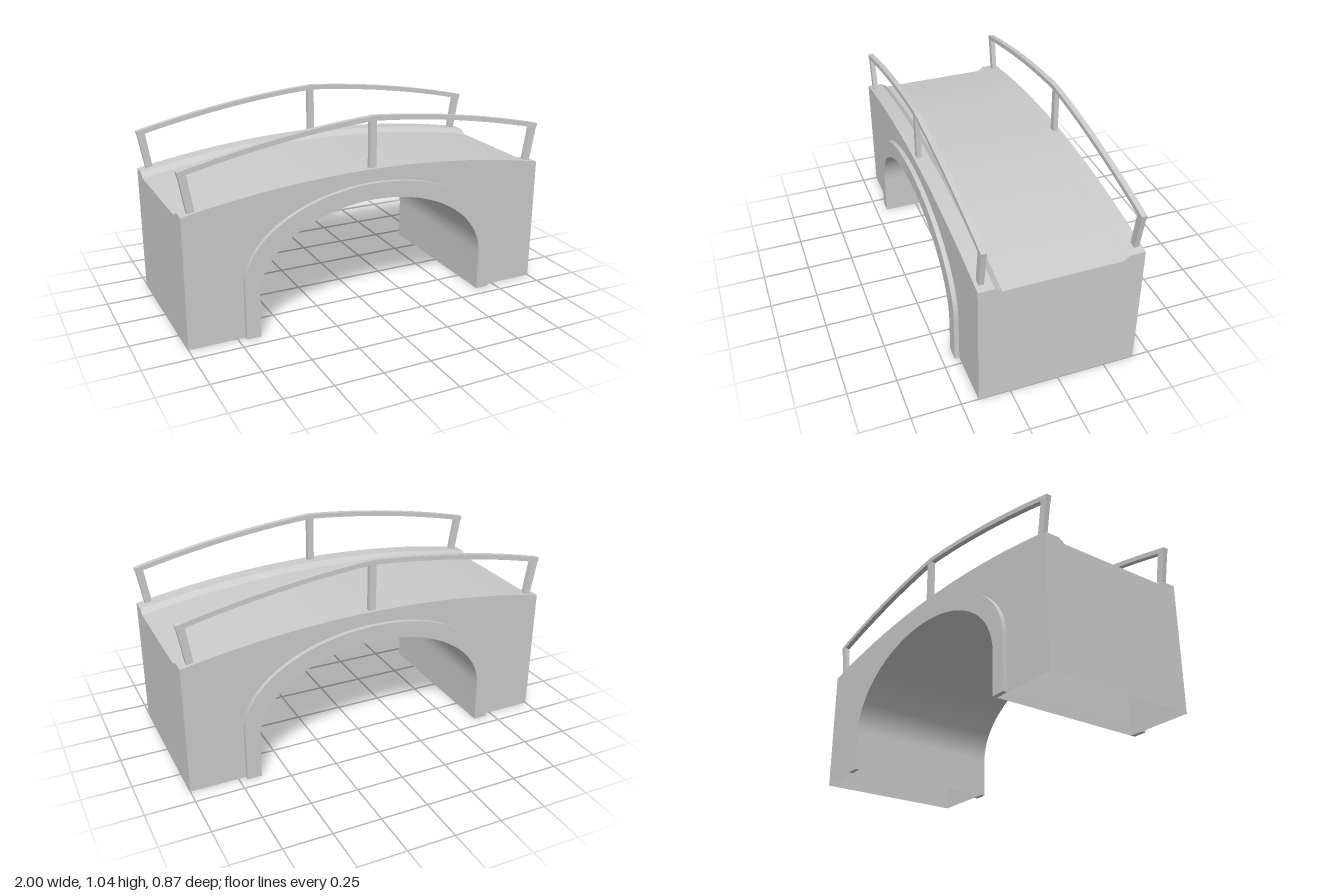
import * as THREE from 'three';
import { toCreasedNormals } from 'three/addons/utils/BufferGeometryUtils.js';

const material = new THREE.MeshStandardMaterial({ color: 0xcccccc, side: THREE.DoubleSide });
const HALF_DEPTH = 0.413, TRIM = 0.024;
const V = (x, y) => new THREE.Vector2(x, y);

// Height of the cambered deck edge at x (circular arc).
const R = 5.2;
const deckY = (x) => 0.777 - R + Math.sqrt(R * R - x * x);

// Arch outline from right foot over the crown to left foot.
function archPoints(halfWidth, spring, crown, n = 48) {
  const pts = [V(halfWidth, 0)];
  for (let i = 0; i <= n; i++) {
    const a = (i / n) * Math.PI;
    pts.push(V(halfWidth * Math.cos(a), spring + (crown - spring) * Math.sin(a)));
  }
  pts.push(V(-halfWidth, 0));
  return pts;
}

// Surface through rows of [x, y, z] points.
function surface(rows) {
  const w = rows[0].length, index = [];
  for (let i = 0; i < rows.length - 1; i++) {
    for (let j = 0; j < w - 1; j++) {
      const a = i * w + j, c = a + w;
      index.push(a, a + 1, c, a + 1, c + 1, c);
    }
  }
  const g = new THREE.BufferGeometry();
  g.setAttribute('position', new THREE.Float32BufferAttribute(rows.flat(2), 3));
  g.setIndex(index);
  return toCreasedNormals(g, 0.4);
}

// Flat outline given thickness along z, centred on z = 0.
function slab(points, depth) {
  const g = new THREE.ExtrudeGeometry(new THREE.Shape(points), { depth, bevelEnabled: false });
  g.translate(0, 0, -depth / 2);
  return toCreasedNormals(g, 0.4);
}

function add(parent, name, geometry, z = 0) {
  const mesh = new THREE.Mesh(geometry, material);
  mesh.name = name;
  mesh.position.z = z;
  parent.add(mesh);
  return mesh;
}

function createRailing() {
  const railing = new THREE.Group();
  const depth = 0.028, n = 10, top = [], bottom = [];
  // Handrail: two shallow arcs meeting at a slight peak.
  for (let i = -n; i <= n; i++) {
    const t = 1 - Math.abs(i) / n;
    const y = 0.892 + 0.153 * t + 0.09 * t * (1 - t);
    const x = i / n;
    top.push(V(x, y));
    bottom.unshift(V(x * 0.995, y - 0.025));
  }
  add(railing, 'handrail', slab([...top, ...bottom], depth));
  add(railing, 'middlePost', slab([V(-0.018, 0.76), V(0.018, 0.76), V(0.018, 1.022), V(-0.018, 1.022)], depth - 0.002));
  // Splayed end posts.
  for (const s of [-1, 1]) {
    const pts = [V(s * 0.925, 0.685), V(s * 0.962, 0.685), V(s * 0.996, 0.88), V(s * 0.956, 0.88)];
    add(railing, 'endPost', slab(pts, depth - 0.002));
  }
  return railing;
}

export function createModel() {
  const bridge = new THREE.Group();
  bridge.name = 'archBridge';
  const outer = archPoints(0.71, 0.28, 0.71);
  const inner = archPoints(0.635, 0.22, 0.625);

  // Deck: kerbed cross-section swept along the camber.
  const section = [[-HALF_DEPTH, 0], [-0.332, 0], [-0.298, -0.024], [0.298, -0.024], [0.332, 0], [HALF_DEPTH, 0]];
  const deckRows = [], edge = [];
  for (let i = 0; i <= 32; i++) {
    const x = -1 + i / 16;
    edge.push(V(x, deckY(x)));
    deckRows.push(section.map(([z, dy]) => [x, deckY(x) + dy, z]));
  }
  add(bridge, 'deck', surface(deckRows));

  // Side walls with the arch opening, and the raised arch trim.
  const wallShape = new THREE.Shape([V(-1, 0), ...edge, V(1, 0), ...outer]);
  const trimPoints = [...outer, ...[...inner].reverse()];
  for (const s of [1, -1]) {
    const wall = add(bridge, 'sideWall', new THREE.ShapeGeometry(wallShape), s * HALF_DEPTH);
    if (s < 0) wall.rotation.y = Math.PI;
    add(bridge, 'archTrim', slab(trimPoints, TRIM), s * (HALF_DEPTH + TRIM / 2));
  }

  // Tunnel lining under the arch.
  add(bridge, 'tunnel', surface(inner.map((p) => [[p.x, p.y, -HALF_DEPTH], [p.x, p.y, HALF_DEPTH]])));

  // End walls follow the deck section.
  const endShape = new THREE.Shape([V(-HALF_DEPTH, 0), ...section.map(([z, dy]) => V(z, deckY(1) + dy)), V(HALF_DEPTH, 0)]);
  for (const s of [-1, 1]) {
    const end = add(bridge, 'endWall', new THREE.ShapeGeometry(endShape));
    end.rotation.y = (s * Math.PI) / 2;
    end.position.x = s;
  }

  // Railings on both kerbs.
  for (const s of [-1, 1]) {
    const railing = createRailing();
    railing.name = s > 0 ? 'frontRailing' : 'backRailing';
    railing.position.z = s * 0.383;
    bridge.add(railing);
  }
  return bridge;
}
